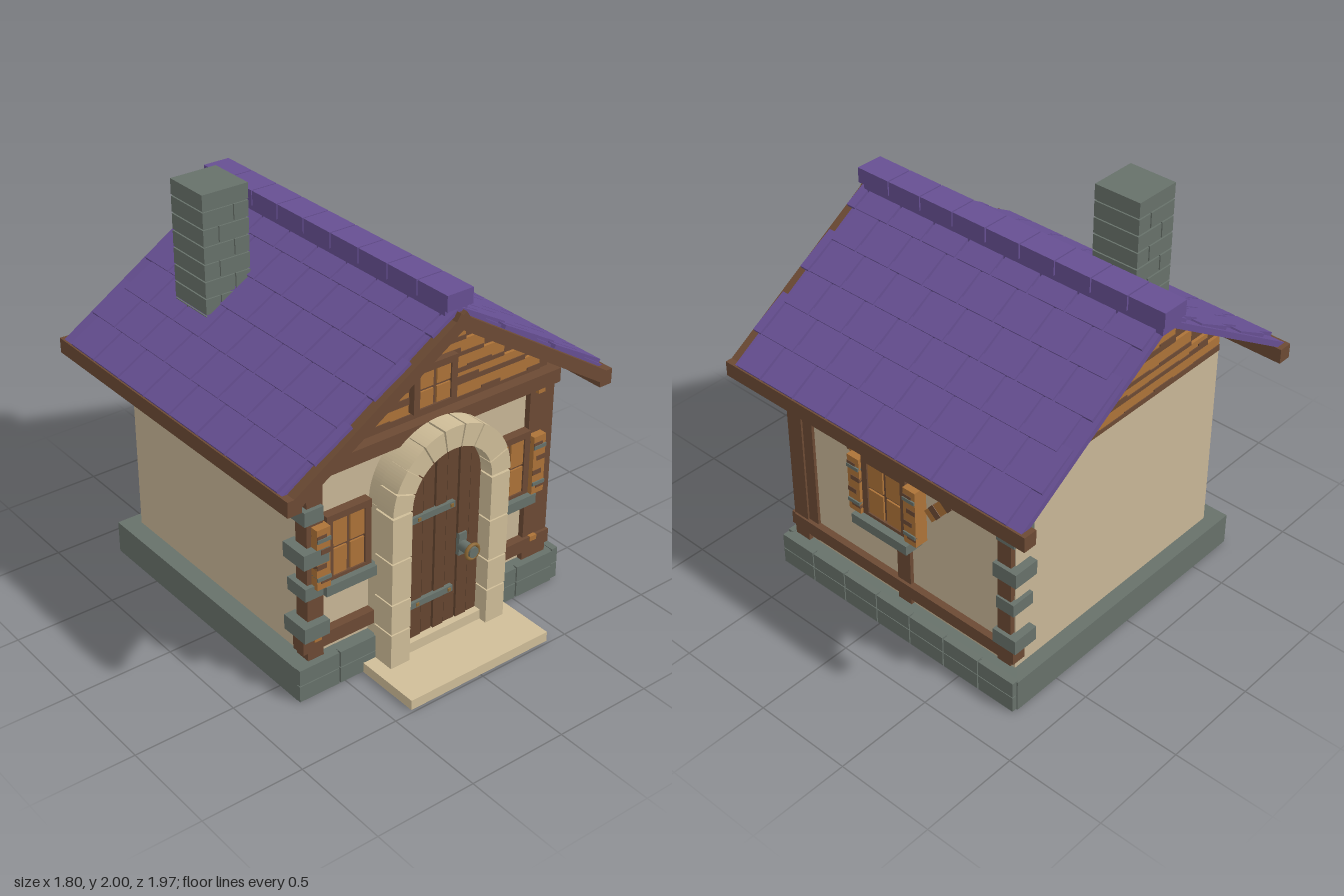
import * as THREE from 'three';

const mat = (name, color) => {
  const m = new THREE.MeshStandardMaterial({ color });
  m.name = name;
  return m;
};

export function createModel() {
  const house = new THREE.Group();
  house.name = 'cottage';
  const plaster = mat('plaster', 0xc8b696), paleStone = mat('pale stone', 0xcfbd98);
  const stone = mat('grey stone', 0x67716a), timber = mat('timber', 0x6c4a34);
  const doorWood = mat('door wood', 0x654530), light = mat('light wood', 0xad7338);
  const tiles = mat('purple tiles', 0x664f92), brass = mat('brass', 0x8f6a35);

  let seed = 7;
  const rand = () => (seed = (seed * 16807) % 2147483647) / 2147483647;

  const group = (name, parent = house) => {
    const g = new THREE.Group();
    g.name = name;
    parent.add(g);
    return g;
  };
  const add = (parent, name, geo, m) => {
    const mesh = new THREE.Mesh(geo, m);
    mesh.name = name;
    parent.add(mesh);
    return mesh;
  };
  // box given by its lower and upper limits
  const box = (parent, name, m, x0, x1, y0, y1, z0, z1) => {
    const b = add(parent, name, new THREE.BoxGeometry(x1 - x0, y1 - y0, z1 - z0), m);
    b.position.set((x0 + x1) / 2, (y0 + y1) / 2, (z0 + z1) / 2);
    return b;
  };

  // foundation: plain core, bricks on the front and the left side
  const base = group('foundation');
  box(base, 'foundationCore', stone, -0.75, 0.76, 0, 0.165, -0.83, 0.63);
  for (let r = 0; r < 2; r++) {
    const y0 = 0.002 + r * 0.086, y1 = y0 + 0.081;
    for (const [a, b] of [[-0.75, -0.535], [-0.527, -0.33], [0.33, 0.51], [0.518, 0.74]])
      box(base, 'frontBrick', stone, a, b, y0, y1, 0.62, 0.65);
    for (let i = 0; i < 7; i++) {
      const z = 0.64 - i * 0.21;
      box(base, 'sideBrick', stone, 0.75, 0.785, y0, y1, z - 0.203, z);
    }
  }
  box(house, 'doorStep', paleStone, -0.4, 0.4, 0, 0.05, 0.63, 0.985);

  // walls and the gable block
  box(house, 'walls', plaster, -0.66, 0.7, 0.16, 1.16, -0.76, 0.58);
  const gable = new THREE.Shape([[-0.66, 1.15], [0.7, 1.15], [0.7, 1.245], [0, 1.69], [-0.66, 1.27]]
    .map(p => new THREE.Vector2(...p)));
  add(house, 'gable', new THREE.ExtrudeGeometry(gable, { depth: 1.34, bevelEnabled: false }), timber)
    .position.z = -0.76;

  // weathered gable boards, front and back
  const rows = [1.17, 1.25, 1.31, 1.39, 1.465, 1.535, 1.6];
  for (const [name, z, s] of [['frontBoards', 0.58, 1], ['backBoards', -0.76, -1]]) {
    const g = group(name);
    g.position.z = z;
    for (let i = 0; i < 6; i++) {
      const y0 = rows[i], y1 = rows[i + 1], w = (1.655 - y1) / 0.635;
      const slab = (n, m, a, b, c, d, t) =>
        box(g, n, m, a, b, c, d, Math.min(0, s * t), Math.max(0, s * t));
      slab('board', light, -w, w, y0 + 0.004, y1, 0.015);
      for (let x = -w; x < w - 0.02;) {
        const e = Math.min(w, x + 0.05 + rand() * 0.16);
        slab('weatheredEdge', timber, x, e, y0, y0 + 0.014 + rand() * 0.028, 0.019);
        x = e;
      }
    }
  }

  // timber frame
  const frame = group('timberFrame');
  box(frame, 'frontTopBeam', timber, -0.71, 0.73, 1.09, 1.16, 0.55, 0.64);
  box(frame, 'frontLowBeam', timber, -0.71, 0.73, 0.22, 0.29, 0.55, 0.625);
  box(frame, 'rightFrontPost', timber, -0.675, -0.59, 0.165, 1.1, 0.53, 0.61);
  box(frame, 'leftFrontPost', timber, 0.58, 0.725, 0.165, 1.1, 0.52, 0.61);
  box(frame, 'sideFrontPost', timber, 0.66, 0.715, 0.19, 1.1, 0.46, 0.52);
  box(frame, 'middlePost', timber, 0.66, 0.72, 0.17, 1.15, -0.15, -0.07);
  box(frame, 'backPost', timber, 0.64, 0.725, 0.19, 1.15, -0.755, -0.68);
  box(frame, 'sideLowBeam', timber, 0.66, 0.735, 0.22, 0.29, -0.78, 0.6);
  box(frame, 'sideTopBeam', timber, 0.66, 0.735, 1.09, 1.16, -0.78, 0.6);
  for (const x of [-0.633, 0.63])
    for (const y of [0.28, 1.075]) box(frame, 'peg', light, x - 0.02, x + 0.02, y - 0.013, y + 0.013, 0.6, 0.63);

  // striped braces on the left wall
  for (const [z0, y0, z1, y1] of [[0.33, 1.08, 0.1, 0.81], [-0.55, 1.08, -0.28, 0.77]]) {
    const g = group('brace', frame), len = Math.hypot(z1 - z0, y1 - y0);
    g.position.set(0.71, y0, z0);
    g.rotation.x = Math.atan2(-(y1 - y0), z1 - z0);
    box(g, 'braceBeam', light, -0.03, 0.02, -0.03, 0.03, 0, len);
    for (let i = 0; i < 4; i++) {
      const a = len * (i + 0.2) / 4;
      box(g, 'braceStripe', timber, -0.03, 0.023, -0.032, 0.032, a, a + len * 0.1);
    }
  }

  // corner stones at the front right and back left
  const quoins = group('cornerStones');
  [[0.3, 0.375, 1], [0.5, 0.565, 0], [0.68, 0.755, 1], [0.88, 0.95, 0]].forEach(([a, b, big]) => {
    const e = big ? 0.02 : 0;
    box(quoins, 'frontStone', stone, -0.7 - e, -0.6 + e * 0.7, a, b, 0.5, 0.63 + e);
    box(quoins, 'backStone', stone, 0.61, 0.735 + e * 0.5, a, b, -0.78 - e, -0.68 + e * 0.5);
  });

  // window facing +z with its foot at the local origin
  const makeWindow = (name, w, h, sides, depth) => {
    const g = group(name), f = 0.033, hw = w / 2;
    box(g, 'windowBack', timber, -hw, hw, 0, h, -0.02, depth - 0.015);
    for (const s of [-1, 1]) {
      const x = s * (hw - f / 2);
      box(g, 'frameSide', timber, x - f / 2, x + f / 2, 0, h, 0, depth);
      box(g, 'frameRail', timber, -hw, hw, s < 0 ? 0 : h - f, s < 0 ? f * 0.5 : h, 0, depth);
      for (const t of [0, 1]) {
        const pw = hw - f - 0.012, ph = (h - 1.5 * f) / 2 - 0.008;
        const px = s < 0 ? -pw - 0.01 : 0.01, py = f * 0.5 + t * (ph + 0.014) + 0.002;
        box(g, 'pane', light, px, px + pw, py, py + ph, 0, depth - 0.006);
      }
    }
    for (const s of sides) {
      const a = s < 0 ? -hw - 0.072 : hw, b = a + 0.072, top = h * 0.92;
      box(g, 'shutter', light, a, b, 0, top, 0, 0.07);
      for (let i = 0; i < 4; i++) {
        const y = top * (0.1 + i * 0.24), m = (a + b) / 2;
        const l = i % 2 ? a : m - 0.015, r = i % 2 ? m + 0.015 : b;
        box(g, 'shutterGrain', timber, l, r, y, y + 0.024, 0, 0.073);
      }
      for (const y of [0.055, top - 0.055]) box(g, 'shutterHinge', stone, a, b, y - 0.009, y + 0.009, 0, 0.077);
    }
    return g;
  };
  for (const s of [-1, 1]) {
    const g = makeWindow(s < 0 ? 'rightFrontWindow' : 'leftFrontWindow', 0.24, 0.33, [s], 0.045);
    g.position.set(s * 0.46, 0.55, 0.58);
    box(g, 'windowSill', stone, -0.145, 0.145, -0.05, 0, -0.02, 0.075);
  }
  const side = makeWindow('sideWindow', 0.27, 0.33, [-1, 1], 0.055);
  side.position.set(0.705, 0.6, -0.04);
  side.rotation.y = Math.PI / 2;
  box(side, 'windowSill', stone, -0.17, 0.17, -0.05, 0, -0.02, 0.095);
  makeWindow('gableWindow', 0.24, 0.22, [], 0.05).position.set(0, 1.21, 0.58);

  // stone door surround: arch wedges and jamb blocks over a recessed backing
  const surround = group('doorSurround');
  const wedge = (a, b, r0, r1, depth, z, name) => {
    const s = new THREE.Shape();
    s.absarc(0, 0, r1, a, b, false);
    s.absarc(0, 0, r0, b, a, true);
    add(surround, name, new THREE.ExtrudeGeometry(s, { depth, bevelEnabled: false, curveSegments: 4 }), paleStone)
      .position.set(0, 0.84, z);
  };
  const n = 9;
  for (let i = 0; i < n; i++) {
    const a = Math.PI * i / n, b = Math.PI * (i + 1) / n;
    wedge(a, b, 0.235, 0.32, 0.17, 0.57, 'archBacking');
    wedge(a + 0.014, b - 0.014, 0.225, 0.332, 0.11, 0.65, 'archStone');
  }
  const cuts = [0.05, 0.235, 0.395, 0.61, 0.84];
  for (const s of [-1, 1]) {
    const x = s * 0.2785;
    box(surround, 'jambBacking', paleStone, x - 0.043, x + 0.043, 0.02, 0.84, 0.57, 0.74);
    for (let i = 0; i < 4; i++)
      box(surround, 'jambStone', paleStone, x - 0.0535, x + 0.0535, cuts[i], cuts[i + 1] - 0.008, 0.64, 0.76);
  }
  box(surround, 'threshold', paleStone, -0.235, 0.235, 0.04, 0.1, 0.57, 0.72);

  // plank door with hinges and ring handle
  const door = group('door');
  for (let i = 0; i < 7; i++) {
    const x = -0.235 + i * 0.0671, far = Math.max(Math.abs(x), Math.abs(x + 0.067));
    const top = 0.84 + Math.sqrt(Math.max(0, 0.275 ** 2 - far ** 2));
    box(door, 'doorPlank', doorWood, x, x + 0.06, 0.1, top, 0.58, i % 2 ? 0.69 : 0.684);
    box(door, 'doorGap', doorWood, x + 0.055, x + 0.07, 0.1, top, 0.58, 0.67);
  }
  for (const y of [0.285, 0.735]) {
    box(door, 'strapHinge', stone, -0.22, 0.065, y - 0.016, y + 0.016, 0.68, 0.705);
    for (const x of [-0.14, 0.045]) box(door, 'rivet', brass, x - 0.008, x + 0.008, y - 0.008, y + 0.008, 0.7, 0.71);
  }
  box(door, 'latchPlate', stone, 0.1, 0.145, 0.44, 0.555, 0.68, 0.7);
  add(door, 'handleRing', new THREE.TorusGeometry(0.036, 0.009, 6, 16), brass).position.set(0.122, 0.49, 0.765);
  const knob = add(door, 'knob', new THREE.CylinderGeometry(0.027, 0.027, 0.085, 10), stone);
  knob.rotation.x = Math.PI / 2;
  knob.position.set(0.122, 0.49, 0.735);

  // roof slopes: underlay, overlapping shingles, bargeboard and eave beam
  const angle = Math.atan(0.635), length = 0.9 / Math.cos(angle), pitch = length / 6;
  for (const s of [-1, 1]) {
    const g = group(s < 0 ? 'rightRoof' : 'leftRoof');
    g.position.y = 1.75;
    g.rotation.z = -s * angle;
    const slab = (name, m, u0, u1, y0, y1, z0, z1) =>
      box(g, name, m, Math.min(s * u0, s * u1), Math.max(s * u0, s * u1), y0, y1, z0, z1);
    slab('roofUnderlay', tiles, 0, length, -0.045, -0.017, -0.955, 0.74);
    slab('bargeboard', timber, 0, length - 0.01, -0.09, -0.03, 0.735, 0.79);
    for (let r = 0; r < 6; r++) {
      const odd = r % 2, back = odd ? -0.88 : -0.935, front = odd ? 0.715 : 0.765;
      for (let k = -1; k < 9; k++) {
        const z = -0.94 + odd * 0.055 + k * 0.2065;
        const z0 = Math.max(back, z + 0.006), z1 = Math.min(front, z + 0.2005);
        if (z1 - z0 < 0.02) continue;
        const t = slab('shingle', tiles, Math.max(0, r * pitch - 0.04), (r + 1) * pitch, -0.022, -0.004, z0, z1);
        t.rotation.z = s * 0.045;
      }
    }
    const x = s * 0.865;
    box(house, 'eaveBeam', timber, x - 0.035, x + 0.035, 1.09, 1.165, -0.98, 0.79);
  }

  // ridge caps
  for (let i = 0; i < 9; i++) {
    const z = 0.765 - i * 0.195;
    box(house, 'ridgeCap', tiles, -0.07, 0.07, 1.735, 1.81, z - 0.188, z);
  }
  box(house, 'ridgeCore', tiles, -0.06, 0.06, 1.69, 1.795, -0.97, 0.74);

  // chimney: brick courses of alternating joints around a core
  const chimney = group('chimney');
  box(chimney, 'chimneyCore', stone, -0.512, -0.288, 1.3, 1.99, -0.557, -0.328);
  for (let i = 0; i < 8; i++) {
    const y = 1.345 + i * 0.0825, split = i === 7 ? null : i % 2 ? -0.44 : -0.36;
    const parts = split === null ? [[-0.52, -0.28]] : [[-0.52, split - 0.004], [split + 0.004, -0.28]];
    for (const [a, b] of parts) box(chimney, 'chimneyBrick', stone, a, b, y, y + 0.0745, -0.565, -0.32);
  }
  return house;
}
